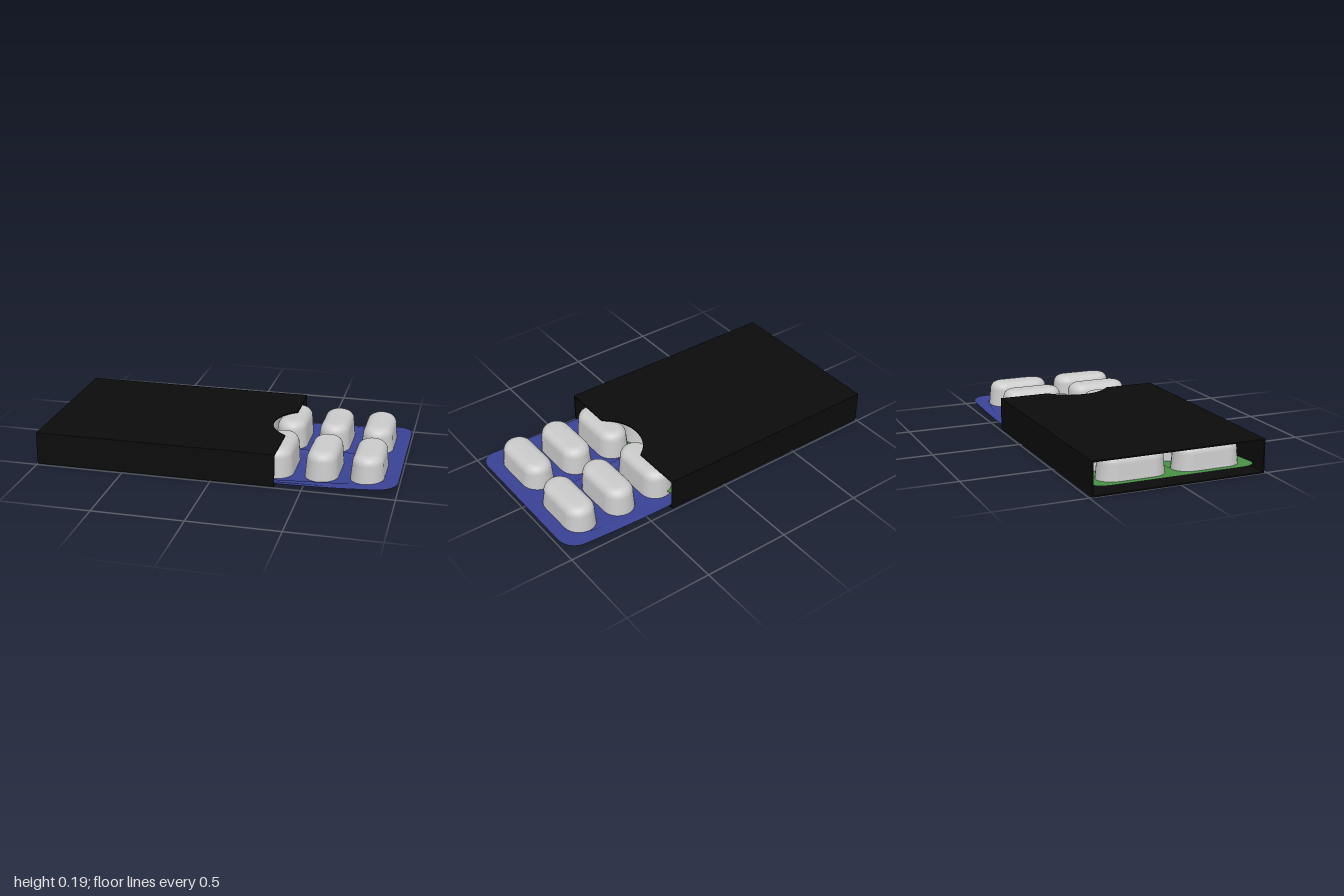
import * as THREE from 'three';

const SHEET_L = 1.3, SHEET_W = 0.94;
const COLUMNS = [-2, -1, 0, 1, 2].map(i => i * 0.247 - 0.017);
const ROWS = [0.218, -0.208];
const PILL_R = 0.092, PILL_S = 0.095; // end radius and half straight length

// height of the gently curled sheet at a distance u from its middle
const bend = u => 0.014 + 0.028 * (u / (SHEET_L / 2)) ** 2;

// capsule outline, long along the second axis
function capsule(r, steps = 12) {
  const pts = [];
  for (let half = 0; half < 2; half++) {
    for (let i = 0; i <= steps; i++) {
      const t = half * Math.PI + i * Math.PI / steps;
      pts.push([r * Math.cos(t), r * Math.sin(t) + (half ? -PILL_S : PILL_S)]);
    }
  }
  return pts;
}

// hollow blister: capsule rings that shrink toward a rounded top
function blisterGeometry(cx, cz) {
  const profile = [[PILL_R, null], [0.089, 0.06], [0.084, 0.12]];
  for (let k = 1; k <= 8; k++) {
    const a = k * Math.PI / 16;
    profile.push([0.034 + 0.05 * Math.cos(a), 0.12 + 0.051 * Math.sin(a)]);
  }
  profile.push([0, 0.172]);
  const pos = [], idx = [];
  let n = 0;
  profile.forEach(([r, y], row) => {
    const ring = capsule(r);
    n = ring.length;
    ring.forEach(([x, z], j) => {
      pos.push(cx + x, y === null ? bend(cx + x) : y, cz + z);
      if (row === 0) return;
      const a = (row - 1) * n + j, b = (row - 1) * n + (j + 1) % n;
      idx.push(a, a + n, b, b, a + n, b + n);
    });
  });
  const g = new THREE.BufferGeometry();
  g.setAttribute('position', new THREE.Float32BufferAttribute(pos, 3));
  g.setIndex(idx);
  g.computeVertexNormals();
  return g;
}

// rounded sheet with a hole under every blister, curled along x
function sheetGeometry() {
  const w = SHEET_L / 2, h = SHEET_W / 2, r = 0.1, outline = [];
  const corners = [[1, -1, -0.5], [1, 1, 0], [-1, 1, 0.5], [-1, -1, 1]];
  corners.forEach(([sx, sy, start], c) => {
    for (let i = 0; i <= 8; i++) {
      const t = (start + i / 16) * Math.PI;
      outline.push(new THREE.Vector2(sx * (w - r) + r * Math.cos(t), sy * (h - r) + r * Math.sin(t)));
    }
    // extra points so the long edges can curl
    if (c % 2 === 1) {
      for (let i = 1; i < 20; i++) {
        outline.push(new THREE.Vector2(sx * (w - r) * (1 - i / 10), sy * h));
      }
    }
  });
  const shape = new THREE.Shape(outline);
  for (const cx of COLUMNS) {
    for (const cz of ROWS) {
      shape.holes.push(new THREE.Path(capsule(PILL_R).map(([x, y]) => new THREE.Vector2(cx + x, y - cz))));
    }
  }
  const g = new THREE.ShapeGeometry(shape);
  g.rotateX(-Math.PI / 2);
  const p = g.attributes.position;
  for (let i = 0; i < p.count; i++) p.setY(i, bend(p.getX(i)));
  g.computeVertexNormals();
  return g;
}

function blisterPack(name, color, x) {
  const pack = new THREE.Group();
  pack.name = name;
  pack.position.x = x;
  const sheet = new THREE.Mesh(sheetGeometry(),
    new THREE.MeshStandardMaterial({ color, side: THREE.DoubleSide }));
  sheet.name = 'backingSheet';
  pack.add(sheet);
  const plastic = new THREE.MeshStandardMaterial({ color: 0xcccccc, side: THREE.DoubleSide });
  for (const cx of COLUMNS) {
    for (const cz of ROWS) {
      const blister = new THREE.Mesh(blisterGeometry(cx, cz), plastic);
      blister.name = 'blister';
      pack.add(blister);
    }
  }
  return pack;
}

// card sleeve, open at both ends, with a thumb notch in the top
function cardSleeve() {
  const sleeve = new THREE.Group();
  sleeve.name = 'sleeve';
  const mat = new THREE.MeshStandardMaterial({ color: 0x0b0b0b });
  const x0 = -1, x1 = 0.35, w = 0.485, h = 0.185, t = 0.007;
  const add = (name, geometry, x, y, z) => {
    const m = new THREE.Mesh(geometry, mat);
    m.name = name;
    m.position.set(x, y, z);
    sleeve.add(m);
  };
  const mid = (x0 + x1) / 2, len = x1 - x0;
  add('sleeveBottom', new THREE.BoxGeometry(len, t, 2 * w), mid, t / 2, 0);
  for (const s of [1, -1]) {
    add('sleeveSide', new THREE.BoxGeometry(len, h - 2 * t, t), mid, h / 2, s * (w - t / 2));
  }
  const R = 0.23, a = Math.asin(0.19 / R);
  const top = new THREE.Shape();
  top.moveTo(x0, -w);
  top.lineTo(x1, -w);
  top.lineTo(x1, -0.19);
  top.absarc(x1 + R * Math.cos(a), 0, R, Math.PI + a, Math.PI - a, true);
  top.lineTo(x1, w);
  top.lineTo(x0, w);
  const g = new THREE.ExtrudeGeometry(top, { depth: t, bevelEnabled: false, curveSegments: 24 });
  g.rotateX(-Math.PI / 2);
  add('sleeveTop', g, 0, h - t, 0);
  return sleeve;
}

export function createModel() {
  const model = new THREE.Group();
  model.name = 'blisterPackBox';
  model.add(cardSleeve());
  model.add(blisterPack('pulledOutPack', 0x3a4396, 0.35));
  model.add(blisterPack('innerPack', 0x4a9446, -0.33));
  return model;
}
